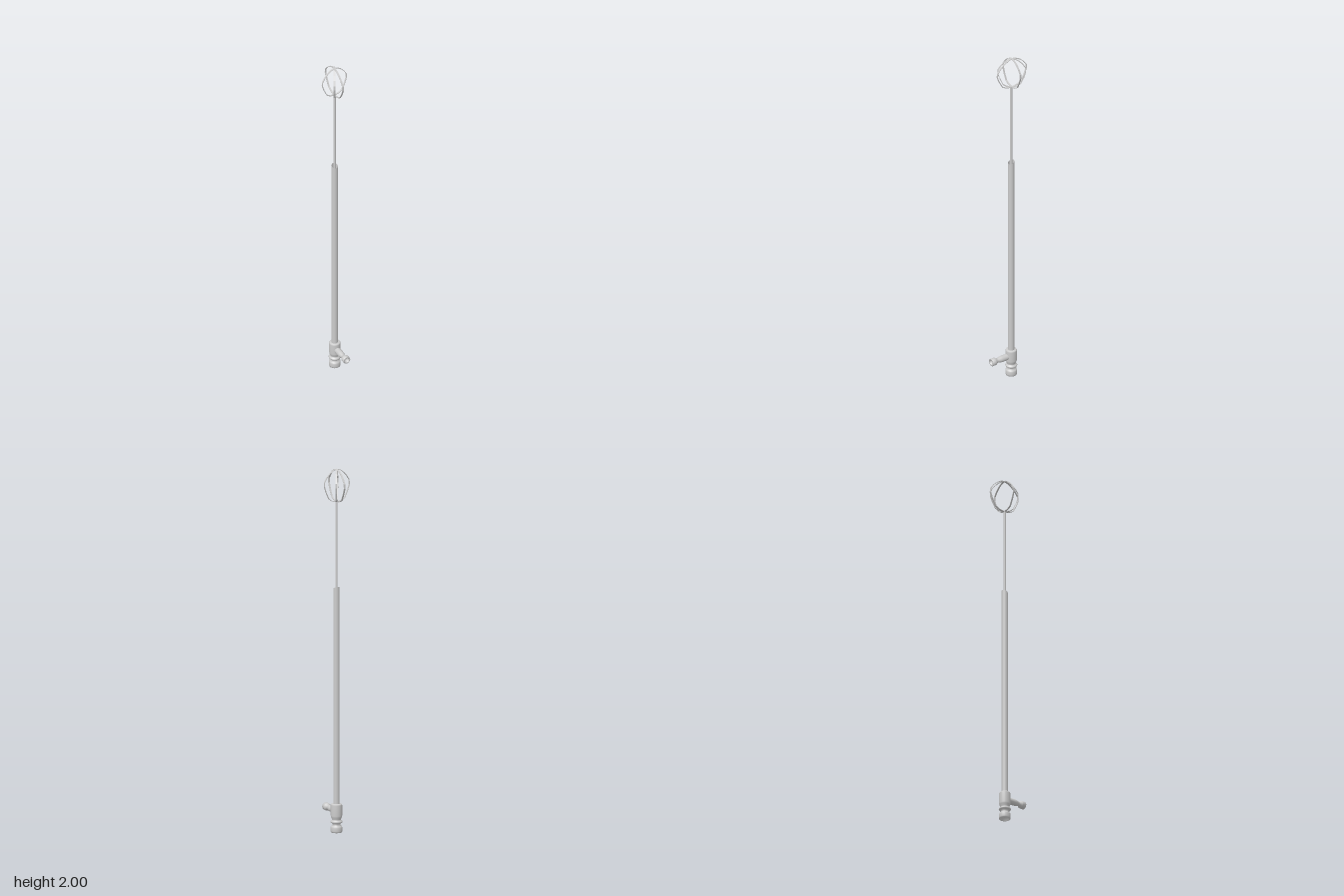
import * as THREE from 'three';

const mat = new THREE.MeshStandardMaterial({ color: 0xcccccc, side: THREE.DoubleSide });

function add(parent, name, geo) {
  const m = new THREE.Mesh(geo, mat);
  m.name = name;
  parent.add(m);
  return m;
}

// Each [radius, height] pair starts a smooth band
const lathe = (pts, seg = 24) =>
  new THREE.LatheGeometry(pts.map(([r, y]) => new THREE.Vector2(r, y)), seg);

// One closed, angular strip loop, flat across its plane
function loopGeometry(half, width) {
  const mirror = [...half].reverse().map(([x, y]) => [-x, y]);
  const outline = [...half, ...mirror].map(([x, y]) => new THREE.Vector2(x, y));
  const shape = new THREE.Shape(outline);
  const inner = outline.map((p) => new THREE.Vector2(p.x * 0.965, 1.91 + (p.y - 1.91) * 0.965));
  shape.holes.push(new THREE.Path(inner.reverse()));
  const g = new THREE.ExtrudeGeometry(shape, { depth: width, bevelEnabled: false });
  return g.translate(0, 0, -width / 2);
}

export function createModel() {
  const group = new THREE.Group();
  const axis = new THREE.Group();
  axis.name = 'uprightAssembly';
  axis.position.set(-0.003, 0, -0.016);
  group.add(axis);

  // Turned foot, collar and valve body, with a hollow underside
  add(axis, 'valveBody', lathe([
    [0, 0.022], [0.021, 0.02], [0.023, 0], [0.03, 0], [0.032, 0.008], [0.032, 0.026],
    [0.029, 0.034], [0.021, 0.038], [0.021, 0.05], [0.031, 0.053], [0.033, 0.058],
    [0.031, 0.063], [0.024, 0.066], [0.024, 0.072], [0.029, 0.083], [0.031, 0.092],
    [0.031, 0.15], [0.028, 0.156], [0.017, 0.157],
  ]));

  // Side outlet pointing forward, with a flared hollow end
  const outlet = add(axis, 'sideOutlet', lathe([
    [0.017, 0], [0.018, 0.06], [0.017, 0.075], [0.013, 0.088], [0.013, 0.098],
    [0.02, 0.106], [0.021, 0.112], [0.021, 0.131], [0.014, 0.131], [0.012, 0.118], [0, 0.117],
  ], 20));
  outlet.rotation.x = Math.PI / 2;
  outlet.position.y = 0.117;

  // Long open sleeve with a slanted top rim
  const sleeve = new THREE.CylinderGeometry(0.017, 0.017, 1.19, 20, 1, true);
  const p = sleeve.attributes.position;
  for (let i = 0; i < p.count; i++) {
    if (p.getY(i) > 0) p.setY(i, p.getY(i) - p.getZ(i) * 0.45);
  }
  add(axis, 'sleeve', sleeve).position.y = 0.75;

  // Thin rod running through the sleeve up to the head
  add(axis, 'rod', new THREE.CylinderGeometry(0.006, 0.006, 1.665, 12)).position.y = 0.9875;

  // Head made of three crossing strip loops, one of them wider
  const head = new THREE.Group();
  head.name = 'loopHead';
  head.position.z = -0.004;
  axis.add(head);
  const half = [
    [0.008, 1.82], [0.03, 1.825], [0.049, 1.838], [0.067, 1.878], [0.077, 1.91],
    [0.076, 1.935], [0.061, 1.96], [0.042, 1.981], [0.02, 1.996], [0.006, 2.0],
  ];
  [[0.05, 1.01], [1.063, 1], [Math.PI / 2, 1.25]].forEach(([angle, spread], i) => {
    const pts = half.map(([x, y]) => [x * spread, y]);
    add(head, 'loop' + (i + 1), loopGeometry(pts, 0.009)).rotation.y = angle;
  });
  return group;
}
